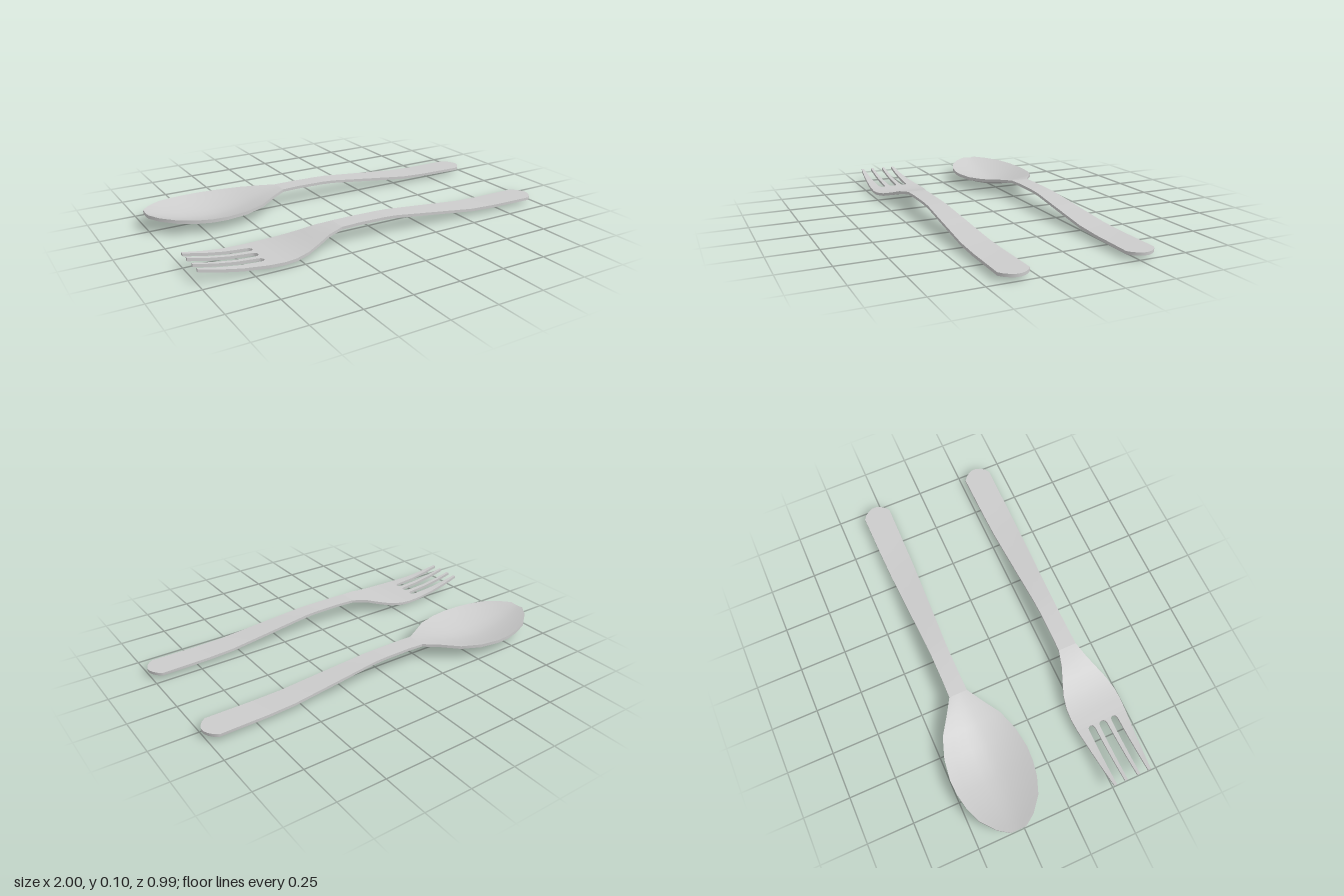
import * as THREE from 'three';
import { toCreasedNormals } from 'three/addons/utils/BufferGeometryUtils.js';

const material = new THREE.MeshStandardMaterial({ color: 0xcccccc });
const lerp = THREE.MathUtils.lerp;

// Solid ribbon running along x. Each row: x, z0, z1, top height y, rise of the edges, thickness.
function ribbon(name, rows, columns, capStart = true, capEnd = true) {
  const pos = [];
  const quad = (a, b, c, d) => pos.push(...a, ...b, ...c, ...a, ...c, ...d);
  const grid = rows.map(({ x, z0, z1, y, rise = 0, thick = 0.015 }) => {
    const top = [], bottom = [];
    for (let i = 0; i <= columns; i++) {
      const t = (i / columns) * 2 - 1;
      const h = y + rise * Math.abs(t) ** 1.6;
      const z = lerp(z0, z1, i / columns);
      top.push([x, h, z]);
      bottom.push([x, h - thick, z]);
    }
    return { top, bottom };
  });
  const n = columns, last = grid.length - 1;
  for (let r = 0; r < last; r++) {
    const p = grid[r], q = grid[r + 1];
    for (let i = 0; i < n; i++) {
      quad(p.top[i], p.top[i + 1], q.top[i + 1], q.top[i]);
      quad(p.bottom[i], q.bottom[i], q.bottom[i + 1], p.bottom[i + 1]);
    }
    quad(p.bottom[n], q.bottom[n], q.top[n], p.top[n]);
    quad(p.bottom[0], p.top[0], q.top[0], q.bottom[0]);
  }
  for (let i = 0; i < n; i++) {
    const s = grid[0], e = grid[last];
    if (capStart) quad(s.bottom[i], s.bottom[i + 1], s.top[i + 1], s.top[i]);
    if (capEnd) quad(e.bottom[i], e.top[i], e.top[i + 1], e.bottom[i + 1]);
  }
  const geometry = new THREE.BufferGeometry();
  geometry.setAttribute('position', new THREE.Float32BufferAttribute(pos, 3));
  const mesh = new THREE.Mesh(toCreasedNormals(geometry, 0.7), material);
  mesh.name = name;
  return mesh;
}

// Symmetric row: x, half width, height, edge rise, thickness
const row = ([x, w, y, rise, thick]) => ({ x, z0: -w, z1: w, y, rise, thick });

// Handle shared by both pieces, with a rounded end
const handleRows = [
  [-0.245, 0.05, 0.1], [-0.15, 0.048, 0.102], [0, 0.048, 0.1], [0.07, 0.05, 0.097],
  [0.3, 0.06, 0.072], [0.55, 0.07, 0.045], [0.7, 0.073, 0.039], [0.95, 0.076, 0.037],
  [0.972, 0.06, 0.037], [0.99, 0.037, 0.037], [1, 0.012, 0.037],
];

function createSpoon() {
  const group = new THREE.Group();
  group.name = 'spoon';
  const bowlRows = [
    [-1, 0.042, 0.092, 0.003, 0.018], [-0.96, 0.1, 0.076, 0.014, 0.018],
    [-0.885, 0.162, 0.052, 0.032, 0.018], [-0.8, 0.195, 0.034, 0.044, 0.018],
    [-0.72, 0.211, 0.024, 0.05, 0.018], [-0.64, 0.215, 0.02, 0.053, 0.017],
    [-0.53, 0.2, 0.032, 0.043, 0.017], [-0.42, 0.162, 0.058, 0.024, 0.016],
    [-0.33, 0.102, 0.084, 0.009, 0.015], [-0.245, 0.05, 0.1, 0, 0.015],
  ];
  group.add(ribbon('spoonBowl', bowlRows.map(row), 8, true, false));
  group.add(ribbon('spoonHandle', handleRows.map(row), 2, false, true));
  group.position.z = -0.285;
  return group;
}

function createFork() {
  const group = new THREE.Group();
  group.name = 'fork';
  const headRows = [
    [-0.668, 0.14, 0.036], [-0.6, 0.144, 0.035], [-0.54, 0.141, 0.038],
    [-0.47, 0.126, 0.048], [-0.4, 0.1, 0.066], [-0.33, 0.073, 0.087], [-0.245, 0.05, 0.1],
  ];
  group.add(ribbon('forkHead', headRows.map(row), 2, false, false));
  group.add(ribbon('forkHandle', handleRows.map(row), 2, false, true));

  // Tine stations: x, height, openness of the slots (they close in a round root)
  const stations = [
    [-1, 0.081, 1], [-0.9, 0.06, 1], [-0.8, 0.045, 1], [-0.69, 0.037, 1],
    [-0.678, 0.0365, 0.85], [-0.671, 0.0362, 0.5], [-0.668, 0.036, 0],
  ];
  const inner = [], outer = [];
  for (const [x, y, open] of stations) {
    const k = (x + 1) / 0.332;
    const sideSlot = lerp(0.023, 0.018, k) * open;
    const midSlot = lerp(0.028, 0.021, k) * open;
    inner.push({ x, y, z0: midSlot, z1: 0.066 - sideSlot });
    outer.push({ x, y, z0: 0.066 + sideSlot, z1: lerp(0.104, 0.14, k) });
  }
  const mirror = (rows) => rows.map((r) => ({ ...r, z0: -r.z1, z1: -r.z0 }));
  group.add(
    ribbon('innerTine', inner, 1, true, false),
    ribbon('outerTine', outer, 1, true, false),
    ribbon('innerTineMirrored', mirror(inner), 1, true, false),
    ribbon('outerTineMirrored', mirror(outer), 1, true, false),
  );
  group.position.z = 0.35;
  return group;
}

export function createModel() {
  const model = new THREE.Group();
  model.name = 'cutlery';
  model.add(createSpoon(), createFork());
  return model;
}
